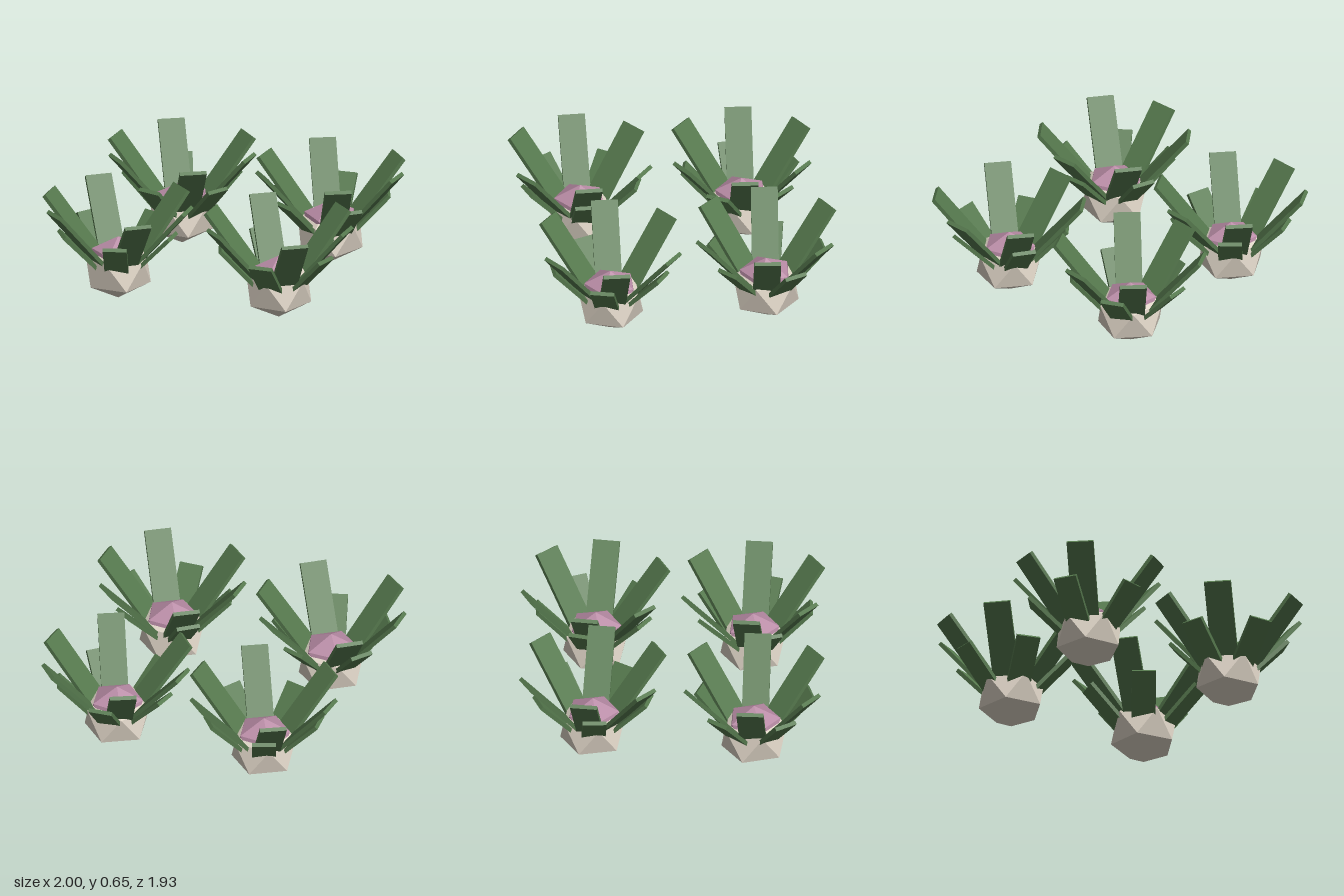
import * as THREE from 'three';

const cream = new THREE.MeshStandardMaterial({ color: 0xddd3c5 });
cream.name = 'cream';
const mauve = new THREE.MeshStandardMaterial({ color: 0xb98ca6 });
mauve.name = 'mauve';
const green = new THREE.MeshStandardMaterial({ color: 0x55784d });
green.name = 'leafGreen';

const rad = THREE.MathUtils.degToRad;

// Icosahedron turned to stand on a vertex
const bulbGeometry = new THREE.IcosahedronGeometry(1, 0);
bulbGeometry.rotateZ(-Math.atan(2 / (1 + Math.sqrt(5))));
bulbGeometry.rotateY(-Math.PI / 2);

// Flat blade whose far end sits at (tipR, tipY), sloping up along +x
function leafGeometry(length, width, slope, tipR, tipY) {
  const g = new THREE.BoxGeometry(length, 0.025, width);
  g.translate(-length / 2, 0, 0);
  g.rotateZ(rad(slope));
  g.translate(tipR, tipY, 0);
  return g;
}
const longLeaf = leafGeometry(0.59, 0.168, 50, 0.465, 0.647);
const shortLeaf = leafGeometry(0.39, 0.15, 47, 0.365, 0.462);

function add(parent, name, geometry, material) {
  const mesh = new THREE.Mesh(geometry, material);
  mesh.name = name;
  parent.add(mesh);
  return mesh;
}

// longAngles: three directions, each repeated on the opposite side
function createTurnip({ x, z, longAngles, shortStart }) {
  const turnip = new THREE.Group();
  turnip.name = 'turnip';
  turnip.position.set(x, 0, z);

  const root = add(turnip, 'root', bulbGeometry, cream);
  root.scale.set(0.228, 0.198, 0.228);
  root.position.y = 0.2;

  const crown = add(turnip, 'crown', bulbGeometry, mauve);
  crown.scale.set(0.184, 0.15, 0.184);
  crown.position.y = 0.262;

  root.rotation.y = crown.rotation.y = -rad(longAngles[0]);

  // Outer ring of six long leaves
  for (const a of longAngles) {
    for (const turn of [0, 180]) {
      add(turnip, 'longLeaf', longLeaf, green).rotation.y = -rad(a + turn);
    }
  }
  // Lower ring of five short leaves
  for (let i = 0; i < 5; i++) {
    add(turnip, 'shortLeaf', shortLeaf, green).rotation.y = -rad(shortStart + i * 72);
  }
  return turnip;
}

export function createModel() {
  const model = new THREE.Group();
  model.name = 'turnipPatch';
  const plants = [
    { x: -0.525, z: 0.53, longAngles: [0, 53, 127], shortStart: 0 },
    { x: 0.525, z: 0.466, longAngles: [2, 56, 129], shortStart: 15 },
    { x: -0.492, z: -0.479, longAngles: [4, 60, 131.5], shortStart: 31 },
    { x: 0.486, z: -0.515, longAngles: [5.5, 62.5, 135.5], shortStart: 48 },
  ];
  for (const p of plants) model.add(createTurnip(p));
  return model;
}
